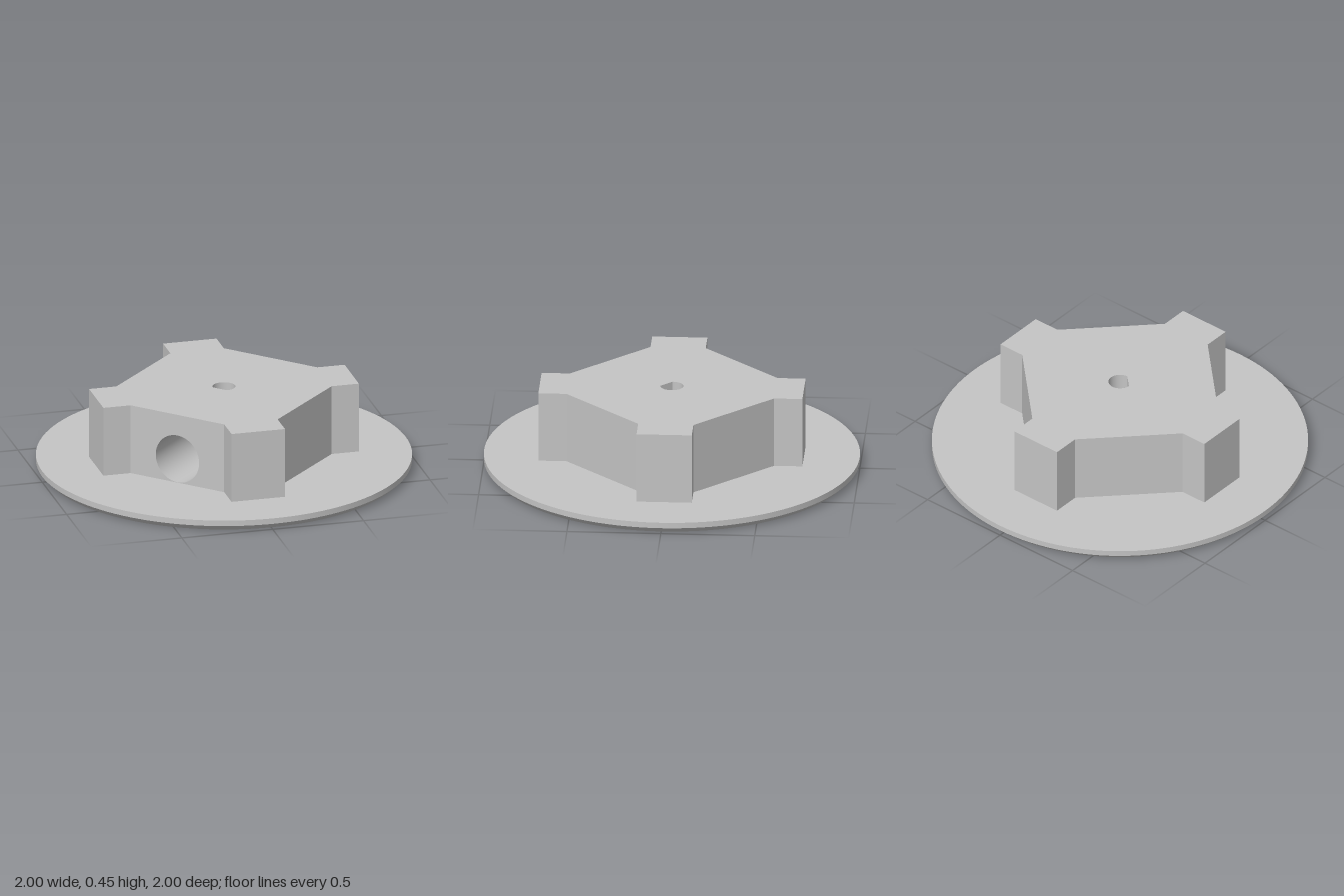
import * as THREE from 'three';
import { toCreasedNormals } from 'three/addons/utils/BufferGeometryUtils.js';

const BASE_TOP = 0.062, HUB_TOP = 0.447;
const ARM = 0.703, HALF = 0.147, NOTCH = 0.553;
const SHAFT_R = 0.061;
const POCKET_R = 0.133, POCKET_Y = 0.135, POCKET_DEPTH = 0.39;

export function createModel() {
  const model = new THREE.Group();
  const grey = new THREE.MeshStandardMaterial({ color: 0xc4c4c4 });
  grey.name = 'plain grey';
  grey.side = THREE.DoubleSide;

  function add(parent, name, geometry, x = 0, y = 0, z = 0) {
    const mesh = new THREE.Mesh(geometry, grey);
    mesh.name = name;
    mesh.position.set(x, y, z);
    parent.add(mesh);
    return mesh;
  }

  // Round base with a chamfered lower rim
  const profile = [[0, 0], [0.968, 0], [1, 0.031], [1, BASE_TOP], [0, BASE_TOP]]
    .map(([r, y]) => new THREE.Vector2(r, y));
  add(model, 'base', toCreasedNormals(new THREE.LatheGeometry(profile, 128), 0.5));

  // Four-armed hub outline, one quadrant turned four times
  const hub = new THREE.Group();
  hub.name = 'hub';
  model.add(hub);
  const outline = [];
  for (let k = 0; k < 4; k++) {
    for (const [x, y] of [[ARM, -HALF], [ARM, HALF], [NOTCH, HALF], [HALF, NOTCH]]) {
      outline.push(new THREE.Vector2(x, y).rotateAround(new THREE.Vector2(), k * Math.PI / 2));
    }
  }

  // Hub top with the D-shaped shaft opening
  const topShape = new THREE.Shape(outline);
  const opening = new THREE.Path();
  opening.absarc(0, 0, SHAFT_R, -Math.PI / 2, Math.PI, false);
  opening.closePath();
  topShape.holes.push(opening);
  add(hub, 'hubTop', new THREE.ShapeGeometry(topShape, 48).rotateX(-Math.PI / 2), 0, HUB_TOP);

  // Hub walls; one diagonal wall carries a round pocket
  const height = HUB_TOP - BASE_TOP;
  outline.forEach((a, i) => {
    const edge = outline[(i + 1) % outline.length].clone().sub(a);
    const length = edge.length();
    const shape = new THREE.Shape([[0, 0], [length, 0], [length, height], [0, height]]
      .map(([x, y]) => new THREE.Vector2(x, y)));
    const hasPocket = i === 10;
    if (hasPocket) {
      shape.holes.push(new THREE.Path().absarc(length / 2, POCKET_Y, POCKET_R, 0, Math.PI * 2, true));
    }
    const wall = add(hub, 'hubWall', new THREE.ShapeGeometry(shape, 32), a.x, BASE_TOP, -a.y);
    wall.rotation.y = edge.angle();
    if (hasPocket) {
      const bore = new THREE.CylinderGeometry(POCKET_R, POCKET_R, POCKET_DEPTH, 64, 1, true).rotateX(Math.PI / 2);
      add(wall, 'pocketBore', bore, length / 2, POCKET_Y, -POCKET_DEPTH / 2);
      add(wall, 'pocketEnd', new THREE.CircleGeometry(POCKET_R, 64), length / 2, POCKET_Y, -POCKET_DEPTH);
    }
  });

  // Shaft bore: three quarters round, closed by a flat
  const middle = (HUB_TOP + BASE_TOP) / 2;
  add(hub, 'shaftBore',
    new THREE.CylinderGeometry(SHAFT_R, SHAFT_R, height, 48, 1, true, 0, Math.PI * 1.5), 0, middle, 0);
  const flat = add(hub, 'shaftFlat',
    new THREE.PlaneGeometry(SHAFT_R * Math.SQRT2, height), -SHAFT_R / 2, middle, SHAFT_R / 2);
  flat.rotation.y = -Math.PI / 4;

  return model;
}
